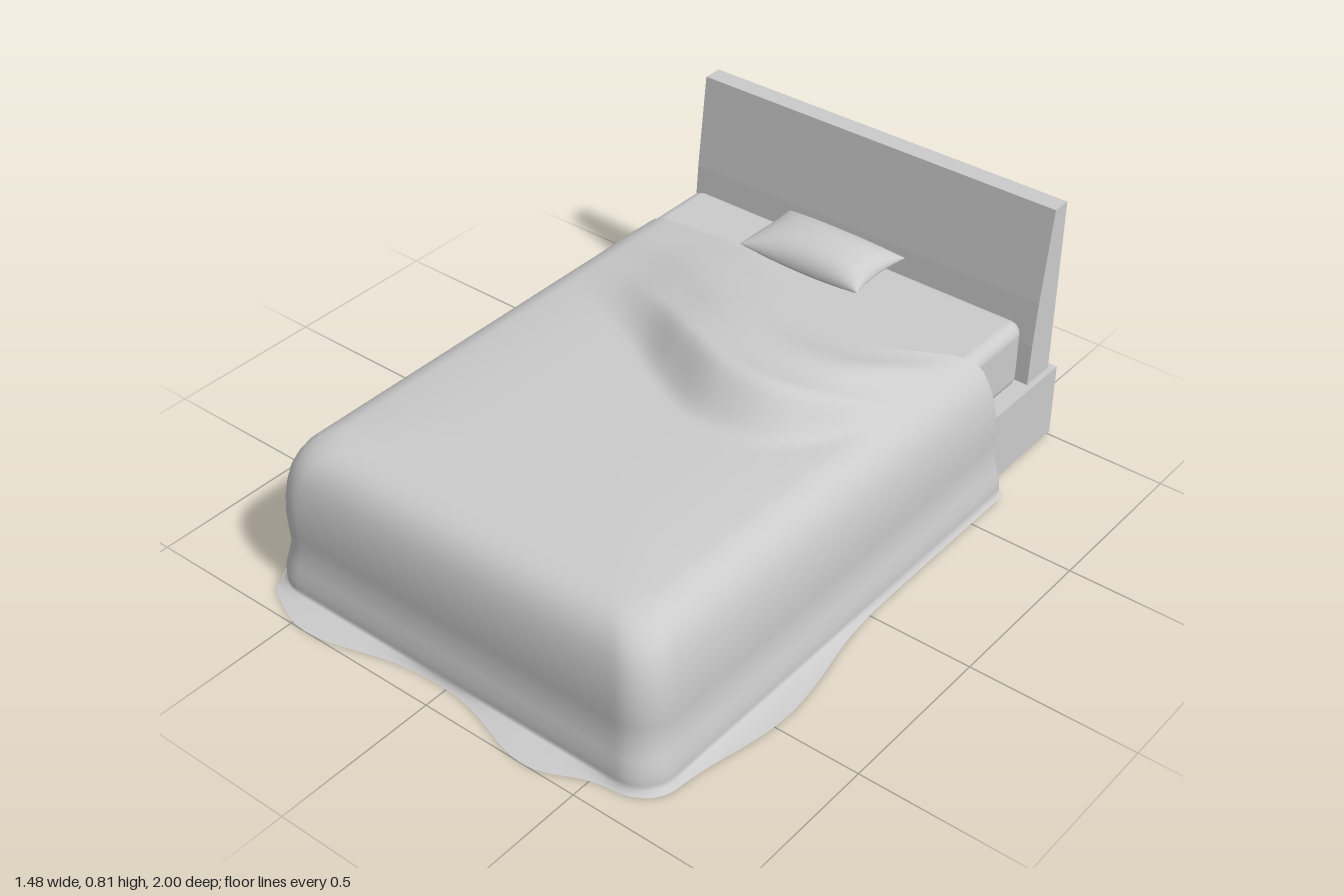
import * as THREE from 'three';
import { mergeVertices } from 'three/addons/utils/BufferGeometryUtils.js';
import { RoundedBoxGeometry } from 'three/addons/geometries/RoundedBoxGeometry.js';

const { lerp, clamp, smoothstep } = THREE.MathUtils;
const material = new THREE.MeshStandardMaterial({ color: 0xcccccc });
const cloth = new THREE.MeshStandardMaterial({ color: 0xcccccc, side: THREE.DoubleSide });

function add(parent, name, geometry, x = 0, y = 0, z = 0, mat = material) {
  const mesh = new THREE.Mesh(geometry, mat);
  mesh.name = name;
  mesh.position.set(x, y, z);
  parent.add(mesh);
}

// Smooth surface through rows x columns of points given by a rule
function surface(rows, cols, point) {
  const pos = [], index = [];
  for (let r = 0; r <= rows; r++)
    for (let c = 0; c <= cols; c++) pos.push(...point(r, c));
  for (let r = 0; r < rows; r++)
    for (let c = 0; c < cols; c++) {
      const a = r * (cols + 1) + c, d = a + cols + 1;
      index.push(a, a + 1, d + 1, a, d + 1, d);
    }
  let g = new THREE.BufferGeometry();
  g.setAttribute('position', new THREE.Float32BufferAttribute(pos, 3));
  g.setIndex(index);
  g = mergeVertices(g, 1e-5);
  g.computeVertexNormals();
  return g;
}

// Catmull-Rom lookup in a table spaced evenly over x = -0.6 .. 0.6
function lookup(table, x) {
  const n = table.length - 1;
  const f = clamp((x + 0.6) / 1.2, 0, 1) * n;
  const i = Math.min(Math.floor(f), n - 1), t = f - i;
  const p = k => table[clamp(k, 0, n)];
  const m0 = (p(i + 1) - p(i - 1)) / 2, m1 = (p(i + 2) - p(i)) / 2;
  const t2 = t * t, t3 = t2 * t;
  return (2 * t3 - 3 * t2 + 1) * p(i) + (t3 - 2 * t2 + t) * m0
    + (3 * t2 - 2 * t3) * p(i + 1) + (t3 - t2) * m1;
}

const bump = (v, centre, width) => Math.exp(-(((v - centre) / width) ** 2));

const HEAD_EDGE = [-0.635, -0.62, -0.59, -0.51, -0.415, -0.435, -0.61];
const RIDGE_Z = [-0.3, -0.25, -0.17, -0.06, 0.01, -0.04, -0.28];
const RIDGE_HEIGHT = [0, 0.015, 0.065, 0.115, 0.128, 0.1, 0];

// Duvet: a U-shaped outline round the foot, drawn in towards the bed's centre line
function duvetGeometry() {
  const HW = 0.645, FOOT = 0.89, HEAD = -0.65, R = 0.1;
  const half = [];
  for (let i = 0; i < 64; i++) half.push([HW, lerp(HEAD, FOOT - R, i / 64)]);
  for (let i = 0; i <= 10; i++) {
    const a = i / 10 * Math.PI / 2;
    half.push([HW - R + R * Math.cos(a), FOOT - R + R * Math.sin(a)]);
  }
  for (let i = 1; i <= 24; i++) half.push([lerp(HW - R, 0, i / 24), FOOT]);
  const outline = [
    ...half.map(([x, z]) => [-x, z]),
    ...half.slice(0, -1).reverse(),
  ];

  // [inset, height] from the hem up over the shoulder
  const profile = [
    [-0.05, 0.004], [-0.035, 0.012], [-0.035, 0.03], [-0.035, 0.06], [-0.022, 0.1], [-0.008, 0.15],
    [-0.012, 0.2], [-0.014, 0.25], [-0.01, 0.3], [0, 0.345], [0.015, 0.385], [0.035, 0.415],
    [0.06, 0.44], [0.09, 0.458], [0.125, 0.471], [0.16, 0.479],
  ];
  for (let i = 1; i <= 34; i++) {
    const f = lerp(0.16, 1, i / 34);
    profile.push([f, 0.497 - 0.018 * (1 - (f - 0.16) / 0.84) ** 4]);
  }

  return surface(profile.length - 1, outline.length - 1, (k, i) => {
    const [px, pz] = outline[i];
    let [f, y] = profile[k];
    // loose cloth spreading on the floor
    if (k === 0) {
      f -= pz > FOOT - 0.02
        ? 0.12 * (bump(px, -0.38, 0.17) + bump(px, 0.28, 0.15))
        : 0.1 * bump(pz, 0.42, 0.25);
    }
    const x = px * (1 - f);
    let z = lerp(pz, Math.min(pz, FOOT - HW), f);
    // wavy edge at the head, swept back towards the floor
    const edge = lookup(HEAD_EDGE, x) - 0.05 * clamp(1 - y / 0.42, 0, 1);
    z += (edge - HEAD) * Math.max(0, 1 - (z - HEAD) / 1.2);
    // turned-back fold
    const s = z - lookup(RIDGE_Z, x);
    const fold = (1 - smoothstep(s, -0.03, 0.13)) * clamp(1 + s / 0.6, 0, 1);
    const top = smoothstep(f, 0.02, 0.2);
    y += top * lookup(RIDGE_HEIGHT, x) * fold;
    y += top * 0.007 * Math.sin(s * 22) * bump(s, -0.2, 0.2);
    return [x, y, z];
  });
}

// Pillow: soft cushion with pinched corners and a flatter underside
function pillowGeometry() {
  return surface(32, 40, (r, c) => {
    const u = Math.cos(r / 32 * Math.PI), a = c / 40 * Math.PI * 2;
    const side = Math.sin(a);
    const v = Math.sign(Math.cos(a)) * Math.abs(Math.cos(a)) ** 0.8;
    const puff = Math.sqrt(Math.max(0, 1 - u * u));
    const waist = 1 - (v < 0 ? 0.16 : 0.06) * (1 - u * u);
    const x = 0.21 * u * (1 - 0.07 * (1 - v * v));
    const y = side * puff * (side > 0 ? 0.075 : 0.03) + 0.012 * u * u;
    return [x, y, 0.12 * v * waist];
  });
}

// Headboard: side profile with a leaning front, extruded across the bed
function headboardGeometry() {
  const profile = [[-0.98, 0.24], [-0.866, 0.24], [-0.872, 0.38], [-0.884, 0.52], [-0.92, 0.81], [-0.98, 0.81]];
  const shape = new THREE.Shape(profile.map(p => new THREE.Vector2(...p)));
  const g = new THREE.ExtrudeGeometry(shape, { depth: 1.225, bevelEnabled: false });
  return g.rotateY(-Math.PI / 2).translate(0.607, 0, 0);
}

export function createModel() {
  const bed = new THREE.Group();
  bed.name = 'bed';

  // Base: four walls under a panel, open below
  const base = new THREE.Group();
  base.name = 'base';
  bed.add(base);
  const W = 1.26, T = 0.022, BACK = -1, FRONT = 0.83, CX = -0.005;
  const length = FRONT - BACK, midZ = (FRONT + BACK) / 2;
  for (const s of [-1, 1]) {
    add(base, 'sideRail', new THREE.BoxGeometry(T, 0.235, length), CX + s * (W - T) / 2, 0.1325, midZ);
    add(base, 'endRail', new THREE.BoxGeometry(W - 2 * T, 0.235, T), CX, 0.1325, midZ + s * (length - T) / 2);
  }
  add(base, 'basePanel', new THREE.BoxGeometry(W - 2 * T, 0.015, length - 2 * T), CX, 0.2425, midZ);

  add(bed, 'headboard', headboardGeometry().translate(0, 0, 0));
  add(bed, 'mattress', new RoundedBoxGeometry(1.18, 0.22, 1.67, 4, 0.04), CX, 0.357, -0.025);
  add(bed, 'pillow', pillowGeometry(), -0.03, 0.508, -0.725, cloth);
  add(bed, 'duvet', duvetGeometry(), 0, 0, 0, cloth);
  return bed;
}
